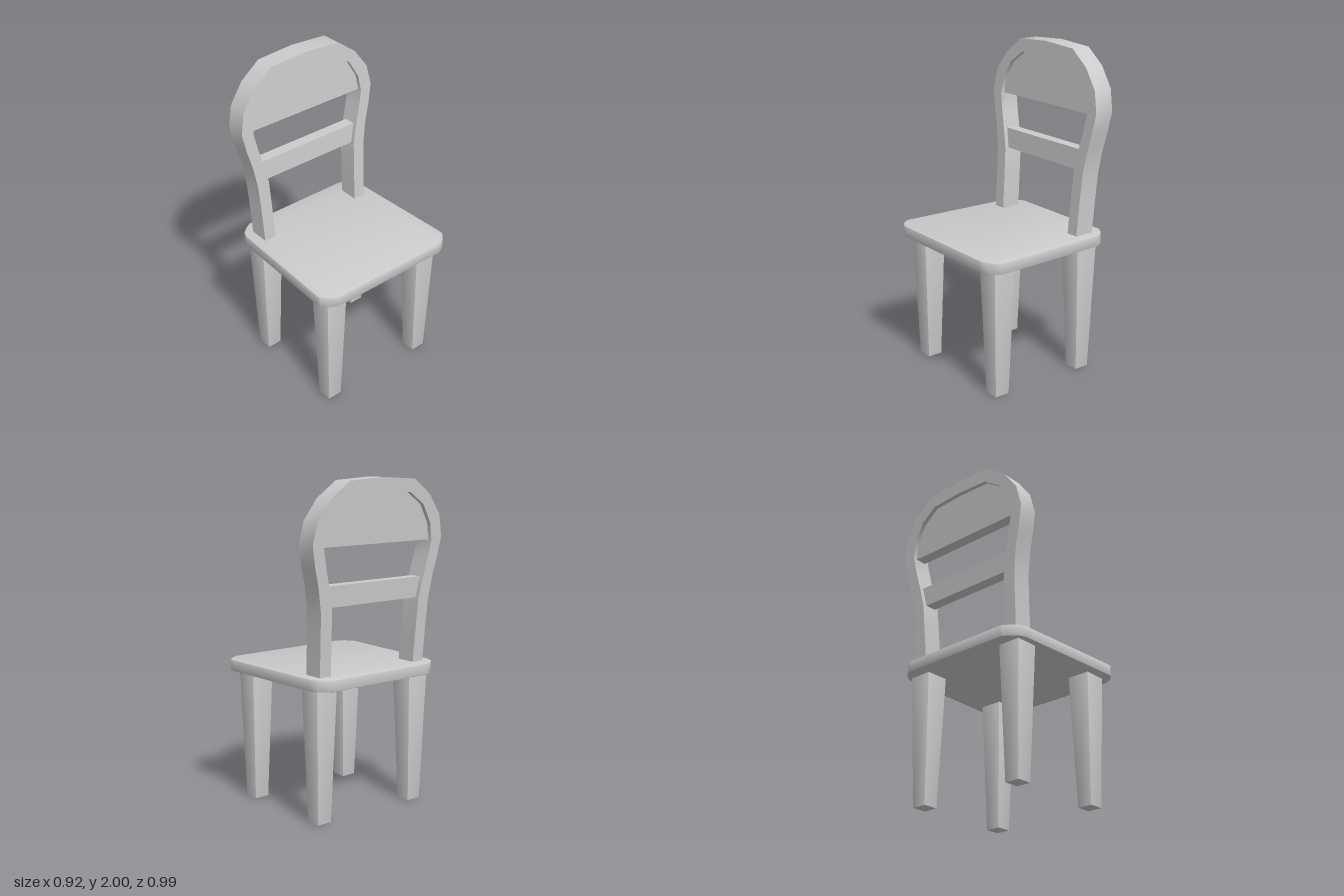
import * as THREE from 'three';
import { toCreasedNormals } from 'three/addons/utils/BufferGeometryUtils.js';
import { RoundedBoxGeometry } from 'three/addons/geometries/RoundedBoxGeometry.js';

const material = new THREE.MeshStandardMaterial({ color: 0xcccccc });

// Mirror a half outline (first coordinate positive) to the other side
const mirrored = (half) => [
  ...half,
  ...half.filter(([a]) => a > 0).reverse().map(([a, b]) => [-a, b]),
];
const toShape = (pts) => new THREE.Shape(pts.map(([a, b]) => new THREE.Vector2(a, b)));

// Extrude an outline drawn in (z, y) along x, then lean it backwards
function leaningPart(name, outline, x0, depth) {
  let g = new THREE.ExtrudeGeometry(toShape(outline), { depth, bevelEnabled: false });
  g.rotateY(Math.PI / 2);
  const p = g.attributes.position;
  for (let i = 0; i < p.count; i++) {
    p.setX(i, p.getX(i) + x0 - 0.0705 * (p.getY(i) - 0.88));
  }
  g = toCreasedNormals(g, 0.7);
  const mesh = new THREE.Mesh(g, material);
  mesh.name = name;
  return mesh;
}

// Square leg tapering towards the floor
function leg(name, x, z) {
  const h = 0.82;
  const g = new RoundedBoxGeometry(1, h, 1, 2, 0.006);
  const p = g.attributes.position;
  for (let i = 0; i < p.count; i++) {
    const w = 0.095 + 0.05 * (p.getY(i) / h + 0.5);
    p.setXYZ(i, p.getX(i) * w, p.getY(i) + h / 2, p.getZ(i) * w);
  }
  const mesh = new THREE.Mesh(toCreasedNormals(g, 0.7), material);
  mesh.name = name;
  mesh.position.set(x, 0, z);
  return mesh;
}

export function createModel() {
  const chair = new THREE.Group();
  chair.name = 'chair';

  // Seat: wider at the front (+x), with rounded corners
  const seatHalf = [
    [0.37, 0.462], [0.41, 0.438], [0.447, 0.405], [0.464, 0.36],
    [0.492, -0.365], [0.489, -0.39], [0.455, -0.43], [0.41, -0.456], [0.38, -0.458],
  ].map(([z, x]) => [z - 0.004, x * 0.992]);
  const seatGeo = new THREE.ExtrudeGeometry(toShape(mirrored(seatHalf)), {
    depth: 0.06, bevelThickness: 0.005, bevelSize: 0.005, bevelSegments: 2,
  });
  // outline (z, -x) laid flat
  seatGeo.rotateX(-Math.PI / 2).rotateY(-Math.PI / 2);
  seatGeo.translate(0, 0.815, 0);
  const pos = seatGeo.attributes.position;
  seatGeo.computeBoundingBox();
  // make sure the wide end points to +x
  let wide = 0;
  for (let i = 0; i < pos.count; i++) if (Math.abs(pos.getZ(i)) > 0.485) wide += pos.getX(i);
  if (wide < 0) seatGeo.rotateY(Math.PI);
  const seat = new THREE.Mesh(toCreasedNormals(seatGeo, 0.6), material);
  seat.name = 'seat';
  chair.add(seat);

  // Legs
  for (const [side, s] of [['Left', 1], ['Right', -1]]) {
    chair.add(leg('frontLeg' + side, 0.313, s * 0.355));
    chair.add(leg('backLeg' + side, -0.313, s * 0.355));
  }

  // Hooped back frame
  const outer = [
    [0.4, 0.83], [0.4, 0.88], [0.406, 1.1], [0.413, 1.26], [0.436, 1.4], [0.465, 1.51],
    [0.49, 1.64], [0.462, 1.77], [0.375, 1.89], [0.245, 1.985], [0, 2],
  ];
  const inner = [
    [0.32, 0.83], [0.32, 0.88], [0.327, 1.1], [0.333, 1.27], [0.36, 1.4], [0.388, 1.51],
    [0.41, 1.62], [0.392, 1.72], [0.325, 1.835], [0.215, 1.908], [0, 1.918],
  ];
  const hoop = [...mirrored(outer), ...mirrored(inner).reverse()];
  chair.add(leaningPart('backFrame', hoop, -0.375, 0.125));

  // Back panel filling the arch, and the lower slat
  const panel = mirrored([
    [0.415, 1.62], [0.4, 1.72], [0.335, 1.84], [0.22, 1.915], [0, 1.925],
  ]);
  chair.add(leaningPart('backPanel', panel, -0.348, 0.072));
  const slat = mirrored([[0.34, 1.275], [0.37, 1.4]]);
  chair.add(leaningPart('backSlat', slat, -0.348, 0.072));

  return chair;
}
